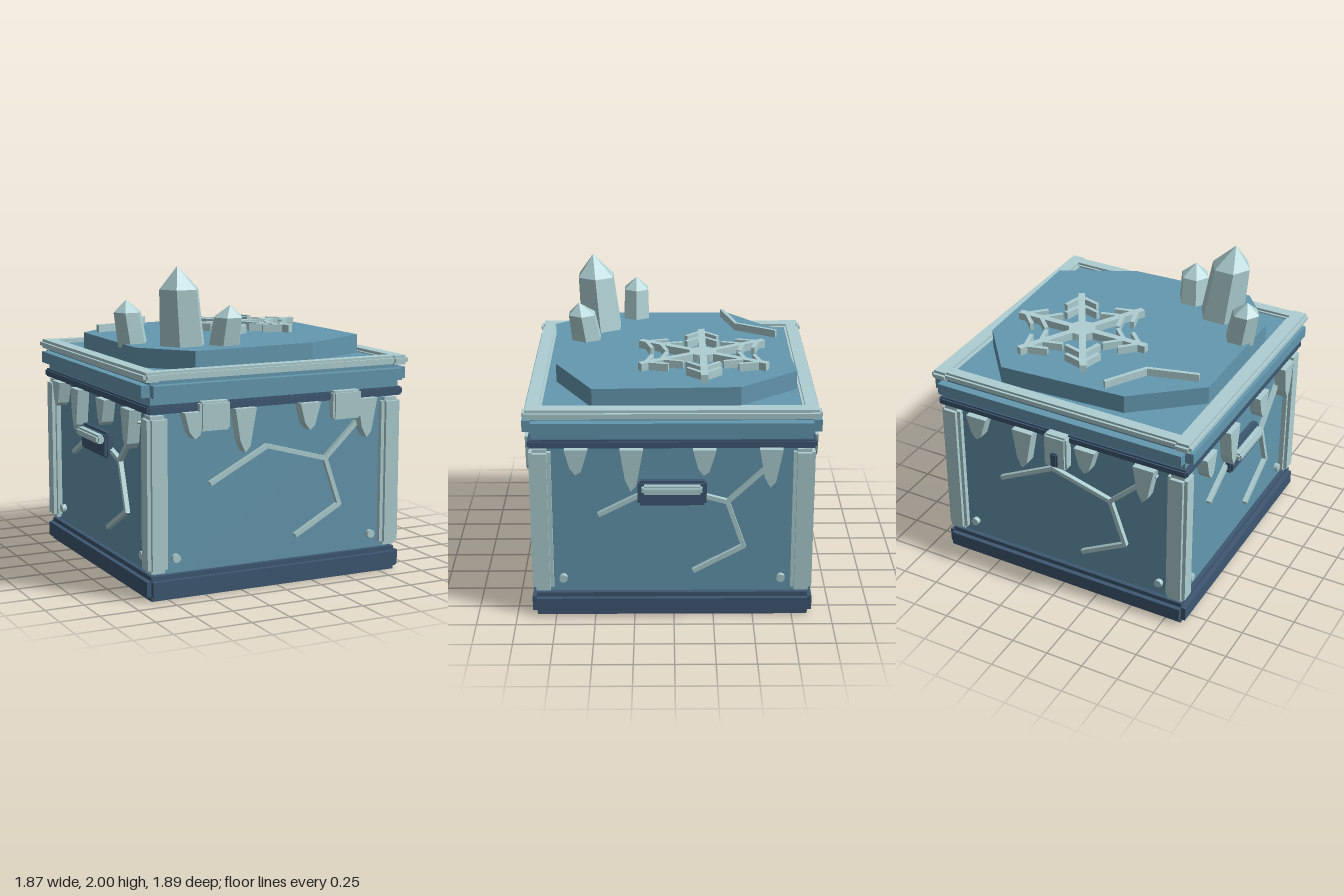
import * as THREE from 'three';

const mat = (name, color) => Object.assign(new THREE.MeshStandardMaterial({ color }), { name });

export function createModel() {
  const panel = mat('frosted blue', 0x6498af);
  const ice = mat('pale ice', 0xaecfd2);
  const dark = mat('dark navy', 0x3d5872);

  const model = new THREE.Group();
  model.name = 'iceCrate';
  const crate = new THREE.Group();
  crate.name = 'crate';
  crate.position.z = 0.012;
  model.add(crate);

  const add = (parent, name, geo, material, x = 0, y = 0, z = 0) => {
    const m = new THREE.Mesh(geo, material);
    m.name = name;
    m.position.set(x, y, z);
    parent.add(m);
    return m;
  };
  const box = (parent, name, material, w, h, d, x, y, z) =>
    add(parent, name, new THREE.BoxGeometry(w, h, d), material, x, y, z);

  // Beam with stepped edges: three crossed boxes, each full size on one axis
  const stepped = (parent, name, material, w, h, d, x, y, z, b) => {
    const g = new THREE.Group();
    g.name = name;
    g.position.set(x, y, z);
    parent.add(g);
    const c = 2 * b;
    box(g, name + 'Long', material, w, h - c, d - c, 0, 0, 0);
    box(g, name + 'Tall', material, w - c, h, d - c, 0, 0, 0);
    box(g, name + 'Deep', material, w - c, h - c, d, 0, 0, 0);
    return g;
  };

  // Raised strip along a 2D polyline, lying in the local xy plane
  const strip = (parent, name, pts, width, depth, z) => {
    for (let i = 1; i < pts.length; i++) {
      const [ax, ay] = pts[i - 1], [bx, by] = pts[i];
      const len = Math.hypot(bx - ax, by - ay);
      const m = box(parent, name, ice, len + width * 0.5, width, depth, (ax + bx) / 2, (ay + by) / 2, z);
      m.rotation.z = Math.atan2(by - ay, bx - ax);
    }
  };

  // Hanging icicle, drawn with its top edge on y = 0
  const icicle = (parent, x, length) => {
    const k = length / 0.275;
    const s = new THREE.Shape([[-0.072, 0], [-0.04, -0.2 * k], [-0.005, -length], [0.03, -0.235 * k], [0.072, 0]]
      .map(([px, py]) => new THREE.Vector2(px, py)));
    const geo = new THREE.ExtrudeGeometry(s, { depth: 0.08, bevelEnabled: false });
    add(parent, 'icicle', geo, ice, x, 1.155, 0.84);
  };

  // Body and lid
  box(crate, 'body', panel, 1.66, 1.185, 1.66, 0, 0.5975, 0);
  stepped(crate, 'lid', panel, 1.84, 0.185, 1.84, 0, 1.2925, 0, 0.055);

  // Four matching sides
  for (let i = 0; i < 4; i++) {
    const side = new THREE.Group();
    side.name = 'side' + (i + 1);
    side.rotation.y = i * Math.PI / 2;
    crate.add(side);
    stepped(side, 'baseBeam', dark, 1.78, 0.155, 0.1, 0, 0.0775, 0.84, 0.03);
    stepped(side, 'upperBeam', dark, 1.78, 0.055, 0.1, 0, 1.18, 0.84, 0.011);
    stepped(side, 'cornerPost', ice, 0.135, 0.97, 0.135, 0.8175, 0.655, 0.8175, 0.023);
    strip(side, 'crack', [[-0.455, 0.695], [-0.07, 0.895], [0.345, 0.78], [0.66, 1.08]], 0.028, 0.04, 0.84);
    strip(side, 'crackBranch', [[0.345, 0.78], [0.45, 0.475], [0.14, 0.305]], 0.028, 0.04, 0.84);
    [[-0.59, 0.165], [-0.25, 0.275], [0.2, 0.17], [0.61, 0.25]].forEach(([x, l]) => icicle(side, x, l));
    for (const s of [-1, 1]) {
      const rivet = add(side, 'rivet', new THREE.CylinderGeometry(0.027, 0.027, 0.05, 10), ice, s * 0.69, 0.25, 0.835);
      rivet.rotation.x = Math.PI / 2;
    }
    // Carry handles on left and right
    if (i % 2) {
      stepped(side, 'handlePlate', dark, 0.43, 0.165, 0.06, 0, 0.85, 0.86, 0.015);
      stepped(side, 'handleGrip', ice, 0.375, 0.055, 0.06, 0, 0.888, 0.907, 0.013);
    }
  }

  // Lid rim: two long side rails and two shorter cross rails
  for (const s of [-1, 1]) {
    stepped(crate, 'lidSideRail', ice, 0.12, 0.06, 1.83, s * 0.86, 1.38, 0, 0.018);
    stepped(crate, 'lidCrossRail', ice, 1.68, 0.055, 0.1, 0, 1.382, s * 0.85, 0.015);
    stepped(crate, 'frontLatch', ice, 0.2, 0.18, 0.07, s * 0.46, 1.125, 0.895, 0.012);
  }

  // Rear lock
  stepped(crate, 'lockPlate', ice, 0.16, 0.24, 0.08, 0, 1.09, -0.9, 0.013);
  stepped(crate, 'keyhole', dark, 0.05, 0.1, 0.025, 0, 1.04, -0.945, 0.008);

  // Irregular ice slab on the lid
  const outline = [[-0.38, -0.72], [0.46, -0.78], [0.755, -0.415], [0.785, 0.505],
    [0.31, 0.75], [-0.53, 0.8], [-0.79, 0.49], [-0.79, -0.38]];
  const slabShape = new THREE.Shape(outline.map(([x, z]) => new THREE.Vector2(x, -z)));
  const slab = add(model, 'iceSlab', new THREE.ExtrudeGeometry(slabShape, { depth: 0.12, bevelEnabled: false }), panel, 0, 1.385, 0);
  slab.rotation.x = -Math.PI / 2;

  // Flat decoration on the slab: local y points to the back
  const deco = new THREE.Group();
  deco.name = 'slabDecoration';
  deco.rotation.x = -Math.PI / 2;
  deco.position.y = 1.53;
  model.add(deco);
  strip(deco, 'slabCrack', [[-0.7, 0.345], [-0.385, 0.43], [-0.23, 0.685]], 0.024, 0.05, 0);

  const flake = new THREE.Group();
  flake.name = 'snowflake';
  flake.position.set(0.21, 0.19, 0);
  deco.add(flake);
  const hub = add(flake, 'snowflakeHub', new THREE.CylinderGeometry(0.1, 0.1, 0.05, 6), ice);
  hub.rotation.set(Math.PI / 2, Math.PI / 6, 0);
  for (let i = 0; i < 6; i++) {
    const arm = new THREE.Group();
    arm.name = 'snowflakeArm';
    arm.rotation.z = i * Math.PI / 3;
    flake.add(arm);
    strip(arm, 'armBar', [[0.05, 0], [0.455, 0]], 0.045, 0.05, 0);
    for (const r of [0.31, 0.42])
      for (const s of [-1, 1]) strip(arm, 'armBarb', [[r, 0], [r - 0.1, s * 0.1]], 0.026, 0.05, 0);
  }

  // Leaning six-sided crystals: rings [x, y, z, radius] from foot to tip
  const crystal = (name, rings) => {
    const geo = new THREE.CylinderGeometry(1, 1, 1, 6, 2).toNonIndexed();
    const pos = [];
    const at = (ring, j) => {
      const [x, y, z, r] = rings[ring], a = j * Math.PI / 3;
      return [x + r * Math.cos(a), y, z + r * Math.sin(a)];
    };
    for (let j = 0; j < 6; j++) {
      pos.push(...at(0, j), ...at(1, j), ...at(1, j + 1));
      pos.push(...at(0, j), ...at(1, j + 1), ...at(0, j + 1));
      pos.push(...at(1, j), ...at(2, j), ...at(1, j + 1));
    }
    geo.dispose();
    const g = new THREE.BufferGeometry();
    g.setAttribute('position', new THREE.Float32BufferAttribute(pos, 3));
    g.computeVertexNormals();
    add(model, name, g, ice);
  };
  crystal('tallCrystal', [[-0.47, 1.49, 0.485, 0.152], [-0.51, 1.858, 0.52, 0.132], [-0.53, 2, 0.54, 0]]);
  crystal('sideCrystal', [[-0.705, 1.48, 0.25, 0.1], [-0.742, 1.7, 0.25, 0.092], [-0.75, 1.777, 0.25, 0]]);
  crystal('smallCrystal', [[-0.225, 1.49, 0.575, 0.108], [-0.212, 1.678, 0.605, 0.098], [-0.208, 1.755, 0.625, 0]]);

  return model;
}
